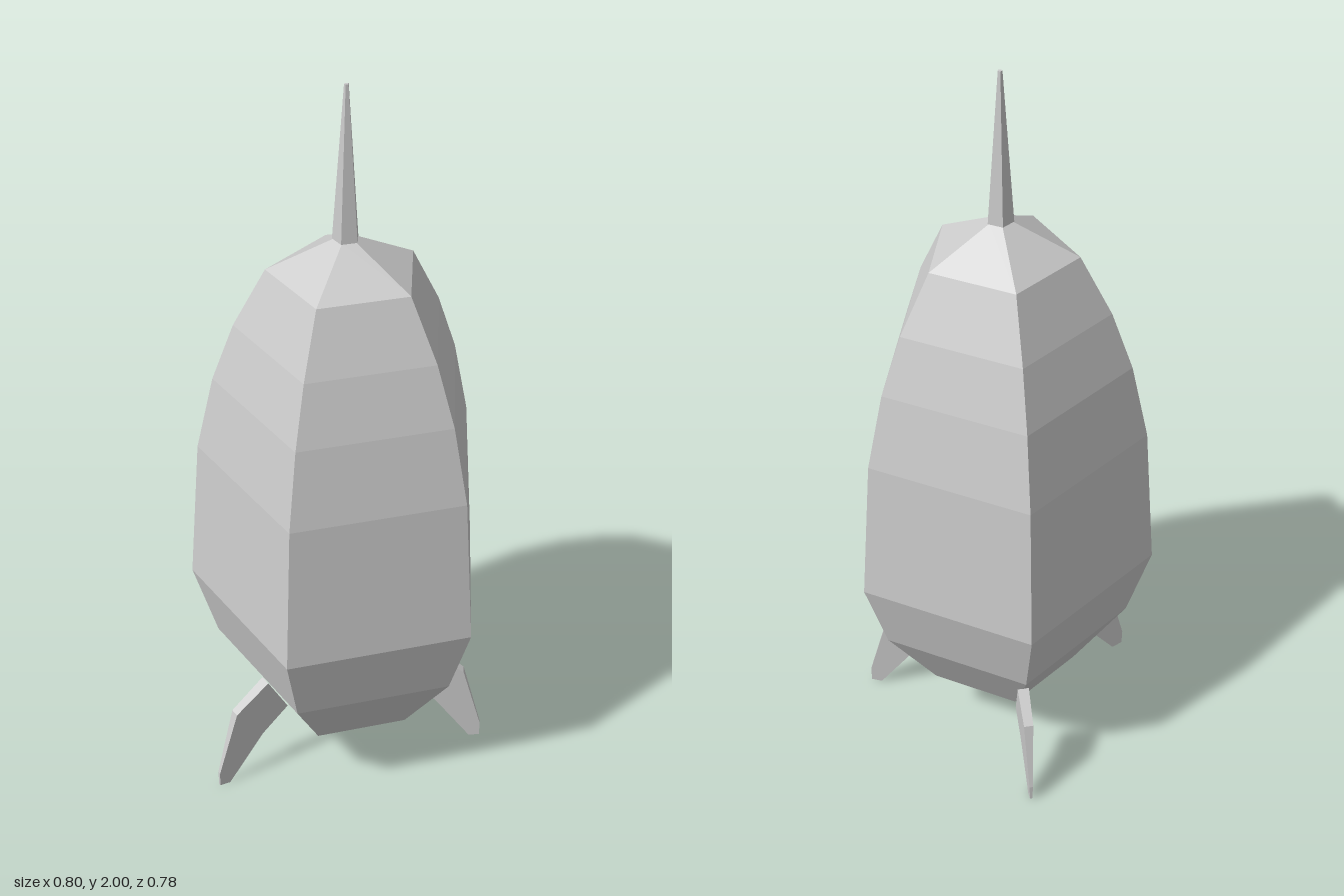
import * as THREE from 'three';

const material = new THREE.MeshStandardMaterial({ color: 0xcccccc, flatShading: true });
const CENTRE_Z = 0.05; // axis of the hull

// Five-sided turned solid with a corner at the back and a flat at the front
function pentagonal(name, profile) {
  const points = profile.map(([r, y]) => new THREE.Vector2(r, y));
  const mesh = new THREE.Mesh(new THREE.LatheGeometry(points, 5, Math.PI), material);
  mesh.name = name;
  mesh.position.z = CENTRE_Z;
  return mesh;
}

// Swept fin: side outline (radius, height), thick at the top and thin at the foot
function fin(name, degrees, shift, stretch) {
  const outline = [[0.263, 0.315], [0.363, 0.245], [0.42, 0.05], [0.42, 0.005], [0.388, 0],
    [0.28, 0.135], [0.2, 0.2]];
  const points = outline.map(([r, y]) => new THREE.Vector2(0.263 + shift + (r - 0.263) * stretch, y));
  const geometry = new THREE.ExtrudeGeometry(new THREE.Shape(points), { depth: 1, bevelEnabled: false });
  const p = geometry.attributes.position;
  for (let i = 0; i < p.count; i++) {
    const half = 0.003 + 0.04 * p.getY(i);
    p.setZ(i, p.getZ(i) > 0.5 ? half : -half);
  }
  geometry.computeVertexNormals();
  const mesh = new THREE.Mesh(geometry, material);
  mesh.name = name;
  mesh.position.z = CENTRE_Z;
  mesh.rotation.y = THREE.MathUtils.degToRad(degrees);
  return mesh;
}

export function createModel() {
  const model = new THREE.Group();
  model.name = 'rocket';

  // Hull with a closed base and shallow nose
  model.add(pentagonal('hull', [[0, 0.16], [0.212, 0.16], [0.357, 0.365], [0.421, 0.57], [0.389, 0.98],
    [0.342, 1.19], [0.284, 1.35], [0.2, 1.51], [0.03, 1.6], [0, 1.6]]));

  // Needle on the nose
  model.add(pentagonal('needle', [[0, 1.595], [0.035, 1.6], [0.006, 2], [0, 2]]));

  // Three landing fins, two square to the side panels and one on the back edge
  model.add(fin('leftFin', -18, -0.022, 0.93));
  model.add(fin('rightFin', 198, 0, 1));
  model.add(fin('backFin', 90, 0.057, 0.75));
  return model;
}
